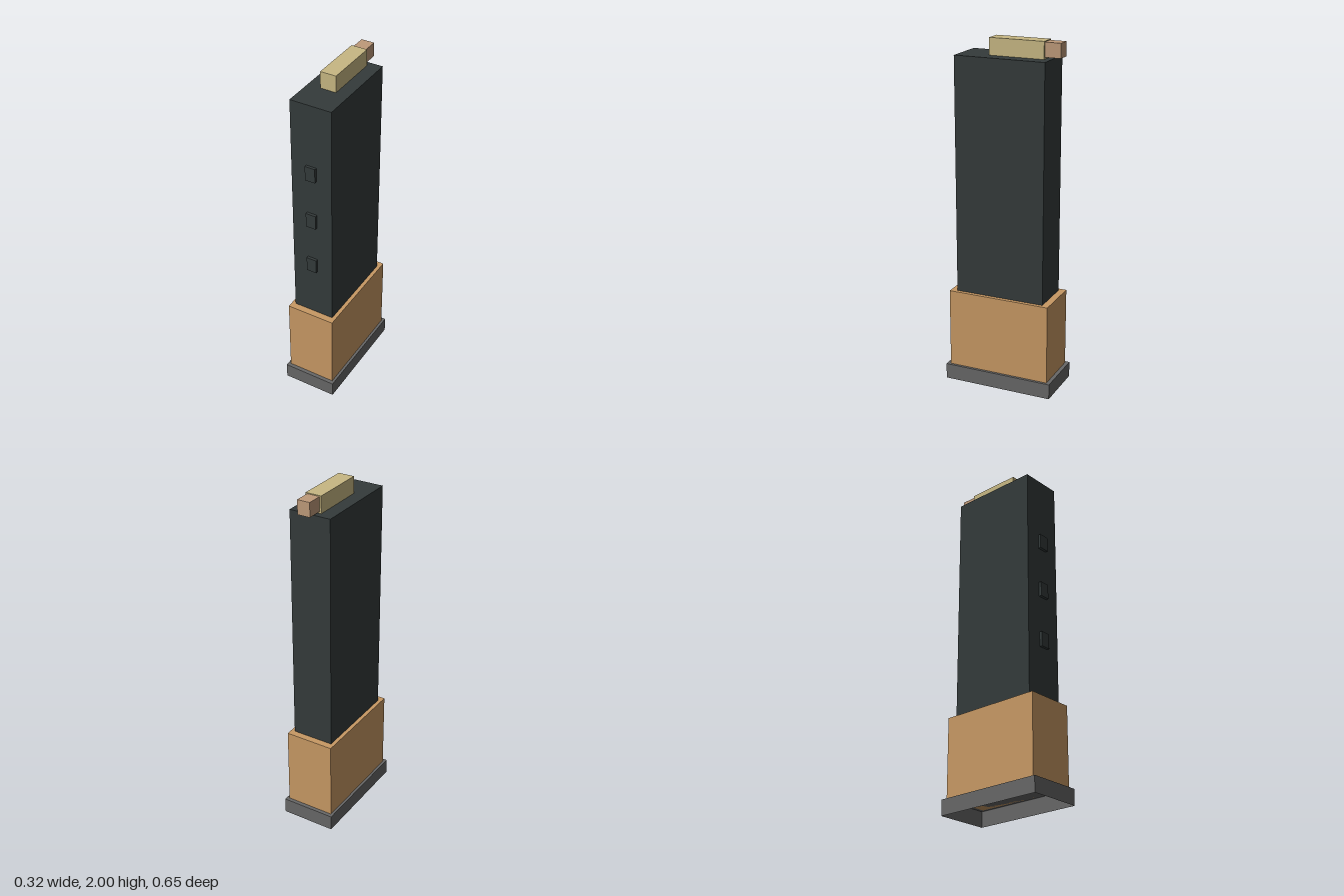
import * as THREE from 'three';

const makeMaterial = (name, color) => {
  const m = new THREE.MeshStandardMaterial({ color, side: THREE.DoubleSide });
  m.name = name;
  return m;
};

export function createModel() {
  const grey = makeMaterial('grey', 0x676767);
  const orange = makeMaterial('orange tan', 0xc89964);
  const dark = makeMaterial('dark slate', 0x343b3b);
  const brass = makeMaterial('pale brass', 0xc8b883);
  const copper = makeMaterial('dull copper', 0xbe9a7a);

  const model = new THREE.Group();
  model.name = 'tower';

  // Box centred on x, given by its width and its y and z ranges
  function box(name, material, width, y0, y1, z0, z1) {
    const mesh = new THREE.Mesh(new THREE.BoxGeometry(width, y1 - y0, z1 - z0), material);
    mesh.name = name;
    mesh.position.set(0, (y0 + y1) / 2, (z0 + z1) / 2);
    model.add(mesh);
    return mesh;
  }

  // Base plate: a shallow shell, open underneath (the -y face is left out)
  const base = box('basePlate', grey, 0.316, 0, 0.09, -0.325, 0.323);
  const index = Array.from(base.geometry.index.array);
  index.splice(18, 6);
  base.geometry.setIndex(index);
  base.geometry.clearGroups();

  // Sleeve and tall body
  box('sleeve', orange, 0.286, 0.09, 0.55, -0.303, 0.301);
  box('body', dark, 0.242, 0.55, 1.905, -0.264, 0.262);

  // Raised tabs down the front
  for (const y of [0.895, 1.198, 1.5]) {
    box('frontTab', dark, 0.06, y - 0.043, y + 0.043, 0.262, 0.278);
  }

  // Top bar with its narrower tip at the back
  box('topBar', brass, 0.092, 1.905, 2, -0.228, 0.089);
  box('topBarTip', copper, 0.074, 1.915, 1.995, -0.319, -0.228);

  return model;
}
